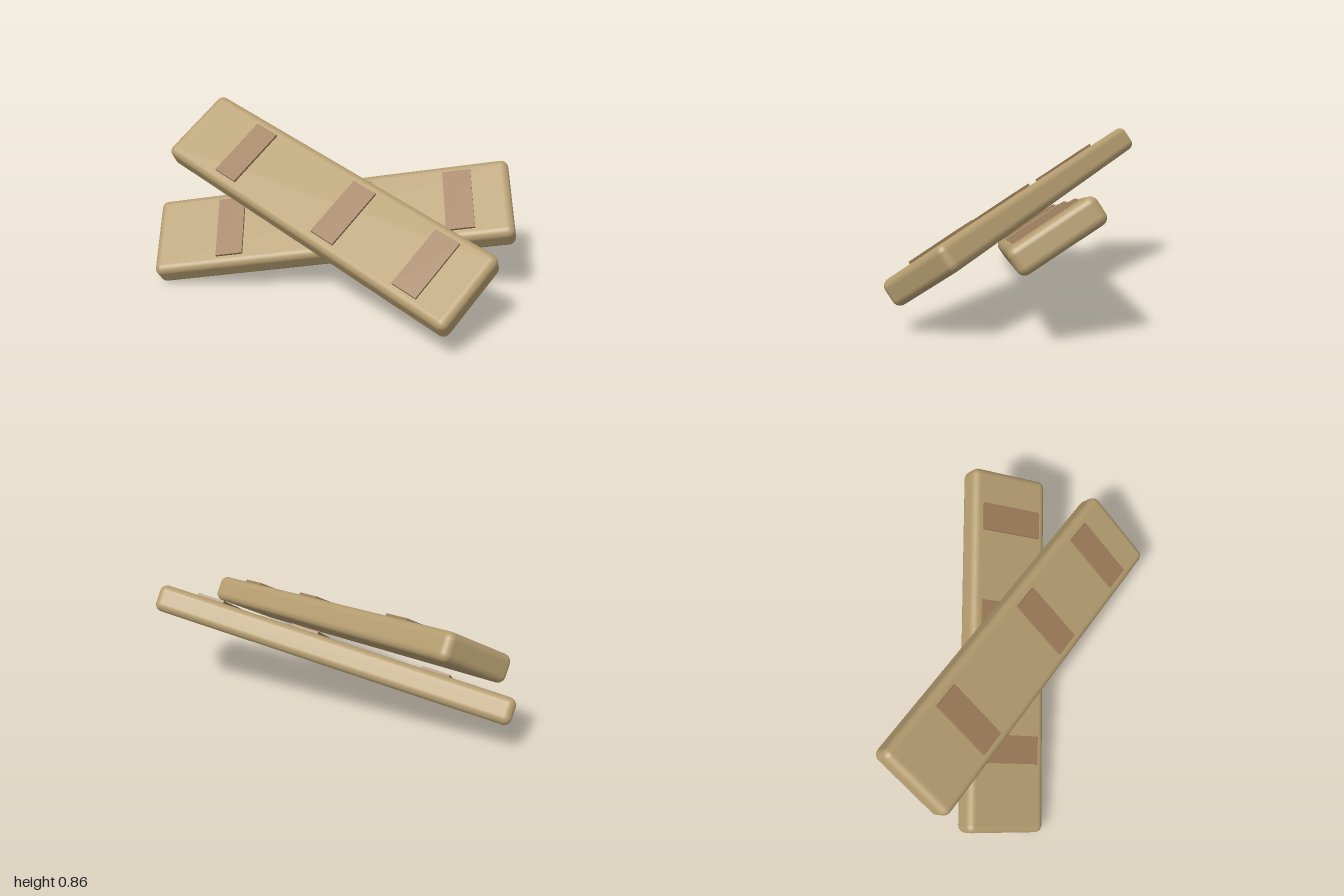
import * as THREE from 'three';
import { RoundedBoxGeometry } from 'three/addons/geometries/RoundedBoxGeometry.js';

const TILT = 0.6;         // slope of the whole stack
const SWING = 0.35;       // each plank swings this far to either side
const THICK = 0.145;
const STRIP_HEIGHT = 0.028;
const STRIP_OFFSETS = [-0.55, 0.173, 0.715];

const plankMaterial = new THREE.MeshStandardMaterial({ color: 0xb59d70 });
const stripMaterial = new THREE.MeshStandardMaterial({ color: 0x9e7d5b });

// One rounded plank carrying three thin raised strips across its top face
function makePlank(name, swing) {
  const plank = new THREE.Group();
  plank.name = name;

  const board = new THREE.Mesh(new RoundedBoxGeometry(1.98, THICK, 0.47, 5, 0.04), plankMaterial);
  board.name = 'board';
  plank.add(board);

  const stripGeometry = new THREE.BoxGeometry(0.15, STRIP_HEIGHT, 0.36);
  STRIP_OFFSETS.forEach((x, i) => {
    const strip = new THREE.Mesh(stripGeometry, stripMaterial);
    strip.name = `crossStrip${i + 1}`;
    strip.position.set(x, THICK / 2, 0);
    plank.add(strip);
  });

  plank.rotation.y = swing;
  return plank;
}

export function createModel() {
  const model = new THREE.Group();
  model.name = 'crossedPlanks';

  // Two planks crossed in parallel sloping planes, a small gap apart
  const stack = new THREE.Group();
  stack.name = 'tiltedStack';
  const lower = makePlank('lowerPlank', SWING);
  const upper = makePlank('upperPlank', -SWING);
  lower.position.y = -0.091;
  upper.position.y = 0.091;
  stack.add(lower, upper);

  stack.rotation.x = TILT;
  stack.position.y = 0.43;
  model.add(stack);
  return model;
}
